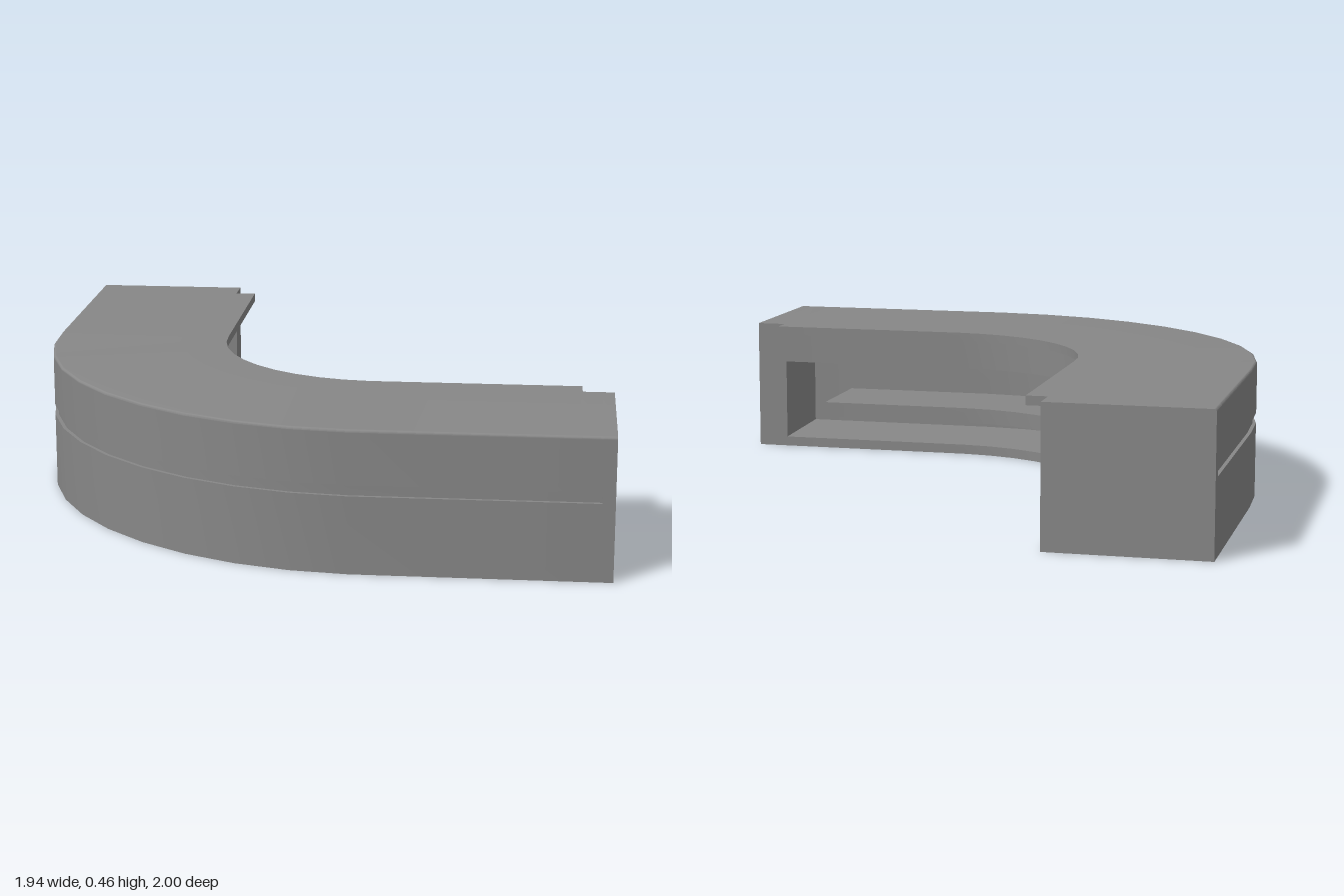
import * as THREE from 'three';
import { toCreasedNormals } from 'three/addons/utils/BufferGeometryUtils.js';

// Centre of the bend; profiles are [distance from this centre, height]
const CX = 0.2, CZ = -0.17, LEG_X = 0.77, LEG_Z = 0.83, ARC_STEPS = 10, ARC_START = 0.035;
const material = new THREE.MeshStandardMaterial({ color: 0x878787 });

// Stations on the two straight legs, measured inward from each free end
const onXLeg = (inset) => ({ x: CX + LEG_X - inset, z: CZ, dx: 0, dz: 1 });
const onZLeg = (inset) => ({ x: CX, z: CZ - LEG_Z + inset, dx: -1, dz: 0 });

// Complete L-shaped run with the quarter bend
function fullRun(inset) {
  const run = [onXLeg(inset)];
  for (let i = 0; i <= ARC_STEPS; i++) {
    const a = ARC_START + (i / ARC_STEPS) * Math.PI / 2;
    run.push({ x: CX, z: CZ, dx: -Math.sin(a), dz: Math.cos(a) });
  }
  run.push(onZLeg(inset));
  return run;
}

// Sweep a counter-clockwise profile through the stations
function sweep(name, profile, stations, capStart = true, capEnd = true) {
  const n = profile.length, positions = [], index = [];
  for (const s of stations)
    for (const [d, y] of profile) positions.push(s.x + s.dx * d, y, s.z + s.dz * d);
  for (let s = 0; s < stations.length - 1; s++)
    for (let i = 0; i < n; i++) {
      const j = (i + 1) % n;
      const a = s * n + i, b = s * n + j, c = b + n, d = a + n;
      index.push(a, b, c, a, c, d);
    }
  const faces = THREE.ShapeUtils.triangulateShape(profile.map(([d, y]) => new THREE.Vector2(d, y)), []);
  const last = (stations.length - 1) * n;
  for (const [a, b, c] of faces) {
    if (capStart) index.push(a, c, b);
    if (capEnd) index.push(last + a, last + b, last + c);
  }
  const geometry = new THREE.BufferGeometry();
  geometry.setAttribute('position', new THREE.Float32BufferAttribute(positions, 3));
  geometry.setIndex(index);
  const mesh = new THREE.Mesh(toCreasedNormals(geometry, 0.5), material);
  mesh.name = name;
  return mesh;
}

export function createModel() {
  const group = new THREE.Group();
  group.name = 'curvedCounter';
  const H = 0.46, IN = 0.64, OUT = 1.17, R = 0.008;

  // Outer face pieces, from bottom to top: groove, then a small rounded top edge
  const groove = [[OUT, 0.25], [OUT - 0.012, 0.25], [OUT - 0.012, 0.285], [OUT, 0.285]];
  const topEdge = [[OUT, H - R - 0.002]];
  for (let i = 0; i <= 4; i++) {
    const a = (i / 4) * Math.PI / 2;
    topEdge.push([OUT - R + R * Math.cos(a), H - R + R * Math.sin(a)]);
  }
  topEdge.push([OUT - R - 0.002, H], [IN, H]);
  const plain = [[IN, 0], [OUT, 0], ...topEdge];
  const grooved = [[IN, 0], [OUT, 0], ...groove, ...topEdge];
  // The recess narrows slightly towards its back
  const hollow = [...grooved, [IN, 0.319], [0.98, 0.311], [0.98, 0.042], [IN, 0.034]];

  // Hollow body, closed by the solid end blocks
  group.add(sweep('counterBody', hollow, fullRun(0.107), false, false));
  group.add(sweep('rightEndInner', grooved, [onXLeg(0.04), onXLeg(0.107)], false, true));
  group.add(sweep('rightEnd', plain, [onXLeg(0), onXLeg(0.04)]));
  group.add(sweep('backEndInner', grooved, [onZLeg(0.107), onZLeg(0.04)], true, false));
  group.add(sweep('backEnd', plain, [onZLeg(0.04), onZLeg(0)]));

  // Inner countertop lip and the shelf inside the recess
  const bar = (d0, d1, y0, y1) => [[d0, y0], [d1, y0], [d1, y1], [d0, y1]];
  group.add(sweep('countertopLip', bar(0.57, IN, 0.43, H), fullRun(0.102)));
  group.add(sweep('innerShelf', bar(0.645, 0.98, 0.116, 0.17), fullRun(0.255)));
  return group;
}
